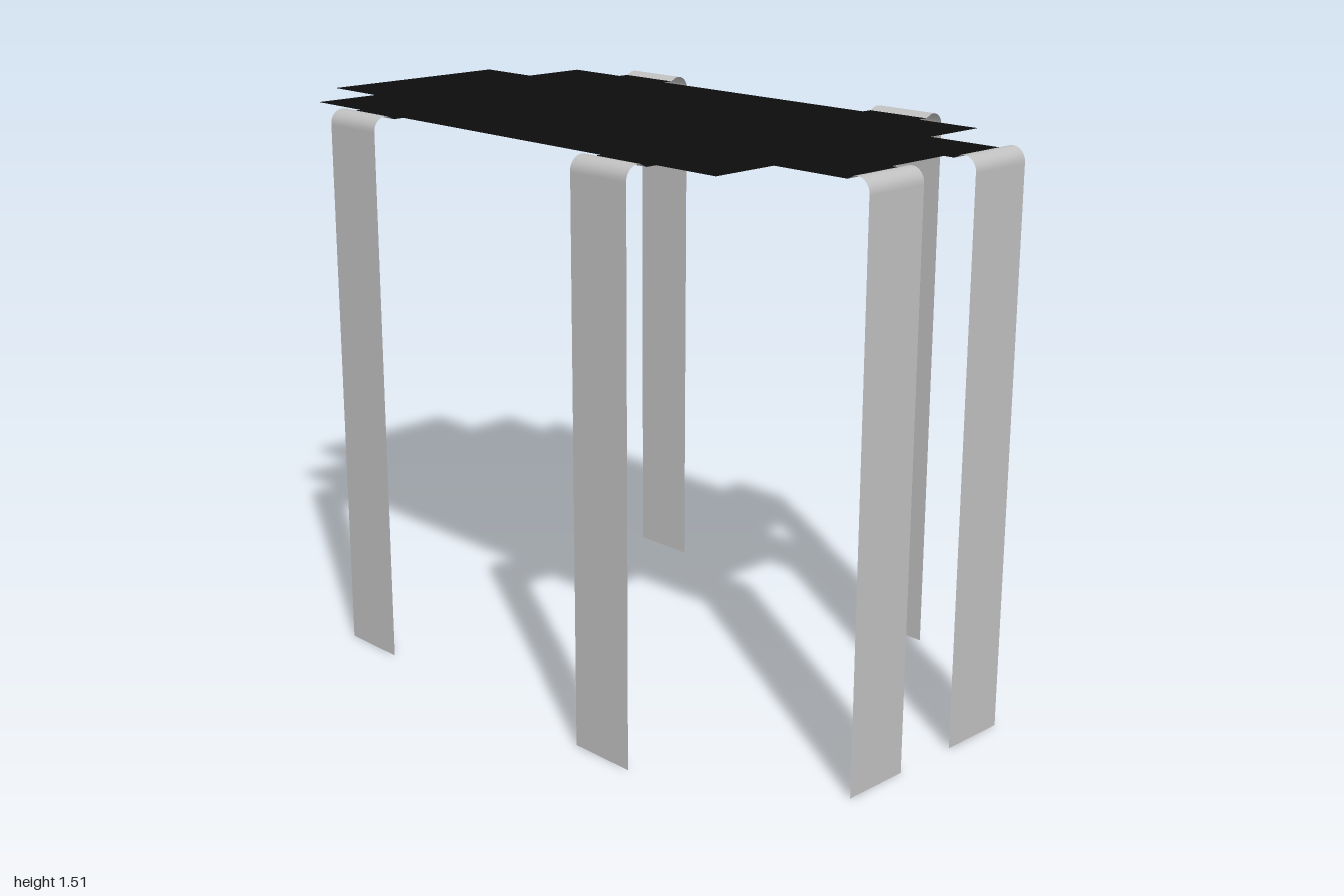
import * as THREE from 'three';

const U = 2 / 10.5;      // layout pitch
const TOP = 1.51;        // crest of the leads
const DECK = 1.50;       // height of the flat body
const REACH = U / 2;     // how far a lead stands out from the body edge
const TAB = 0.03;        // body tab under the start of each lead
const R = 0.036;         // bend radius

// Lead profile as [outward distance, height], from the body to the foot
function leadProfile() {
  const crest = REACH - R;
  const points = [[TAB - 0.002, DECK - 0.001], [TAB + 0.012, DECK + 0.005], [crest - 0.01, TOP - 0.001]];
  for (let i = 0; i <= 8; i++) {
    const a = (i / 8) * Math.PI / 2;
    points.push([crest + R * Math.sin(a), TOP - R + R * Math.cos(a)]);
  }
  points.push([REACH, TOP - R - 0.004], [REACH, 0]);
  return points;
}

// Thin strip bent along the profile, facing +z
function leadGeometry() {
  const profile = leadProfile();
  const geo = new THREE.PlaneGeometry(U, 1, 1, profile.length - 1);
  const pos = geo.attributes.position;
  for (let i = 0; i < pos.count; i++) {
    const [out, y] = profile[Math.floor(i / 2)];
    pos.setY(i, y);
    pos.setZ(i, out);
  }
  geo.computeVertexNormals();
  return geo;
}

// Stepped body outline, with x right and z as the second axis
function bodyGeometry() {
  const x = (n) => -1 + n * U;
  const half = [
    [x(0), 1.5 * U], [x(1), 1.5 * U], [x(1), 2.5 * U],
    [x(2), 2.5 * U], [x(2), 2.5 * U + TAB], [x(3), 2.5 * U + TAB], [x(3), 2.5 * U],
    [x(7), 2.5 * U], [x(7), 2.5 * U + TAB], [x(8), 2.5 * U + TAB], [x(8), 2.5 * U],
    [x(9), 2.5 * U], [x(9), 1.5 * U],
    [x(10) + TAB, 1.5 * U], [x(10) + TAB, 0.5 * U], [x(10), 0.5 * U],
  ];
  const outline = [...half, ...half.map(([a, b]) => [a, -b]).reverse()];
  const shape = new THREE.Shape(outline.map(([a, b]) => new THREE.Vector2(a, b)));
  return new THREE.ShapeGeometry(shape).rotateX(-Math.PI / 2);
}

export function createModel() {
  const black = new THREE.MeshStandardMaterial({ color: 0x0c0c0c, side: THREE.DoubleSide });
  black.name = 'matte black';
  const silver = new THREE.MeshStandardMaterial({ color: 0xc0c0c0, side: THREE.DoubleSide });
  silver.name = 'silver grey';

  const model = new THREE.Group();
  model.name = 'leadedPlate';

  const body = new THREE.Mesh(bodyGeometry(), black);
  body.name = 'body';
  body.position.y = DECK;
  model.add(body);

  const strip = leadGeometry();
  const addLead = (name, x, z, turn) => {
    const lead = new THREE.Mesh(strip, silver);
    lead.name = name;
    lead.position.set(x, 0, z);
    lead.rotation.y = turn;
    model.add(lead);
  };

  // Two leads on the front and back edges, two on the left end
  for (const n of [2.5, 7.5]) {
    const x = -1 + n * U;
    const side = x > 0 ? 'Left' : 'Right';
    addLead('front' + side + 'Lead', x, 2.5 * U, 0);
    addLead('back' + side + 'Lead', x, -2.5 * U, Math.PI);
  }
  addLead('endFrontLead', 1 - REACH, U, Math.PI / 2);
  addLead('endBackLead', 1 - REACH, -U, Math.PI / 2);

  return model;
}
